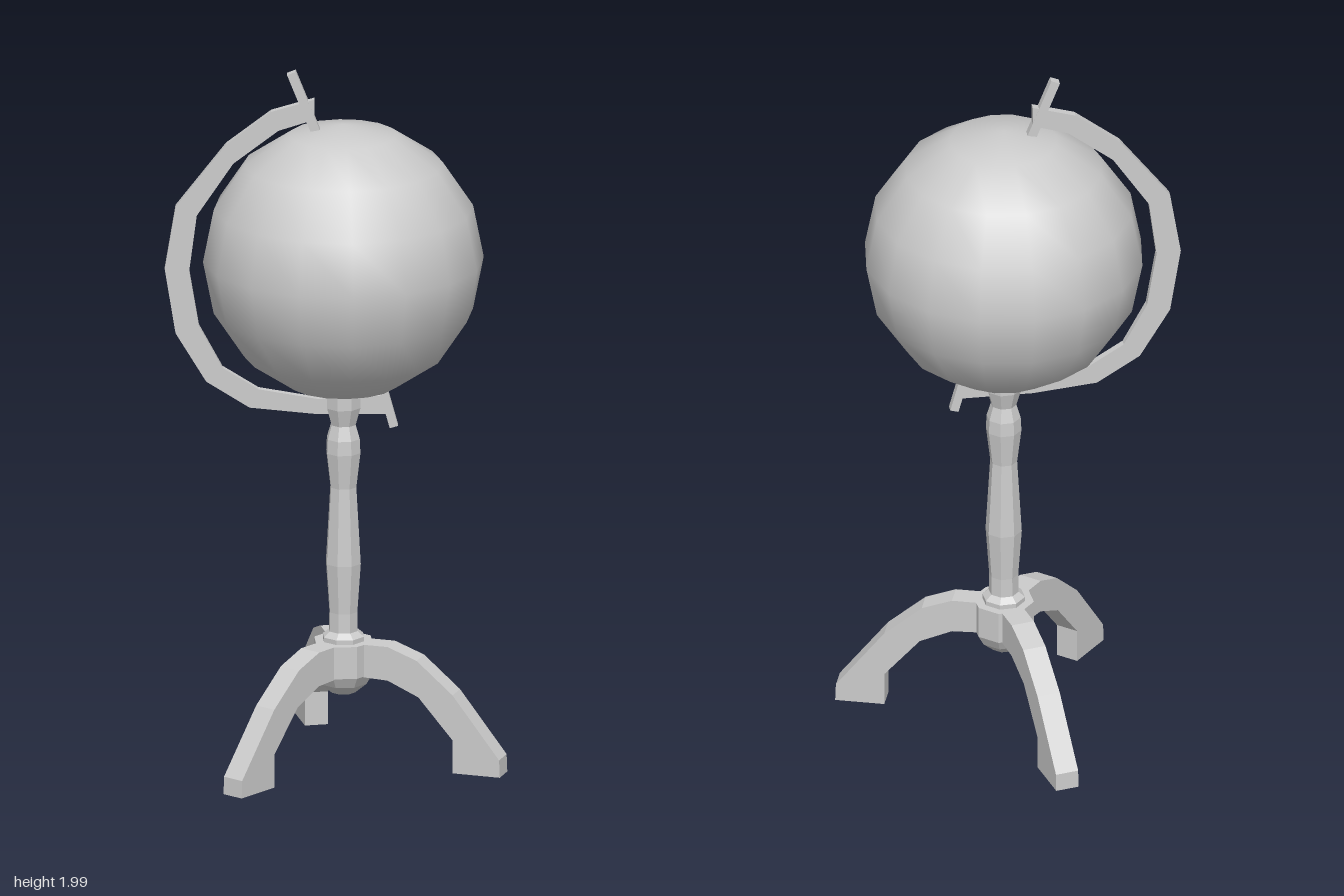
import * as THREE from 'three';

const flat = new THREE.MeshStandardMaterial({ color: 0xcccccc, flatShading: true });
const smooth = new THREE.MeshStandardMaterial({ color: 0xcccccc });

function add(parent, name, geometry, material = flat) {
  const mesh = new THREE.Mesh(geometry, material);
  mesh.name = name;
  parent.add(mesh);
  return mesh;
}

// Flat outline extruded to a thickness centred on z = 0
function slab(points, depth) {
  const shape = new THREE.Shape(points.map(([x, y]) => new THREE.Vector2(x, y)));
  return new THREE.ExtrudeGeometry(shape, { depth, bevelEnabled: false }).translate(0, 0, -depth / 2);
}

function lathe(points, sides) {
  return new THREE.LatheGeometry(points.map(([r, y]) => new THREE.Vector2(r, y)), sides);
}

// Small square pin between two points of the arm's plane
function pin(parent, name, [x0, y0], [x1, y1], width) {
  const dx = x1 - x0, dy = y1 - y0;
  const mesh = add(parent, name, new THREE.BoxGeometry(width, Math.hypot(dx, dy), 0.024));
  mesh.position.set((x0 + x1) / 2, (y0 + y1) / 2, 0);
  mesh.rotation.z = Math.atan2(-dx, dy);
}

export function createModel() {
  const model = new THREE.Group();
  model.name = 'globeOnStand';
  const body = new THREE.Group();
  body.name = 'body';
  body.position.z = -0.01;
  model.add(body);

  // Ball
  add(body, 'globe', new THREE.SphereGeometry(0.39, 16, 8), smooth).position.y = 1.456;

  // Turned post
  add(body, 'post', lathe([
    [0, 0.34], [0.06, 0.345], [0.06, 0.37], [0.042, 0.385], [0.041, 0.44], [0.051, 0.58],
    [0.038, 0.8], [0.05, 0.9], [0.048, 0.94], [0.036, 0.98], [0.05, 1.03], [0.05, 1.09], [0, 1.09],
  ], 8));

  // Hub with a rounded underside
  add(body, 'hub', lathe([
    [0, 0.205], [0.035, 0.207], [0.068, 0.235], [0.085, 0.265], [0.085, 0.357], [0, 0.357],
  ], 8));

  // Three arched legs
  const legOutline = [
    [0.02, 0.265], [0.14, 0.26], [0.23, 0.22], [0.33, 0.105], [0.33, 0.01], [0.468, 0.01],
    [0.466, 0.06], [0.33, 0.235], [0.225, 0.325], [0.14, 0.357], [0.02, 0.357],
  ];
  // Heading of each leg in degrees, measured from +x towards -z
  [[0, 1], [-112, 1.01], [121, 1.04]].forEach(([angle, reach]) => {
    const leg = add(body, 'leg', slab(legOutline.map(([r, y]) => [r * reach, y]), 0.066));
    leg.rotation.y = THREE.MathUtils.degToRad(angle);
  });

  // Curved arm holding the globe, with its axis pins
  const arm = new THREE.Group();
  arm.name = 'arm';
  arm.rotation.y = 0.323;
  body.add(arm);
  const outer = [
    [-0.08, 1.92], [-0.2, 1.885], [-0.325, 1.79], [-0.465, 1.61], [-0.495, 1.43],
    [-0.465, 1.245], [-0.38, 1.105], [-0.26, 1.03], [-0.08, 1.012], [0.13, 1.012],
  ];
  const inner = [
    [0.12, 1.065], [-0.07, 1.055], [-0.235, 1.083], [-0.335, 1.145], [-0.4, 1.265],
    [-0.427, 1.425], [-0.406, 1.585], [-0.305, 1.735], [-0.18, 1.83], [-0.08, 1.862],
  ];
  add(arm, 'armCurve', slab([...outer, ...inner], 0.022));
  pin(arm, 'upperPin', [-0.144, 1.996], [-0.076, 1.825], 0.026);
  pin(arm, 'lowerPin', [0.108, 1.09], [0.14, 0.974], 0.024);

  return model;
}
